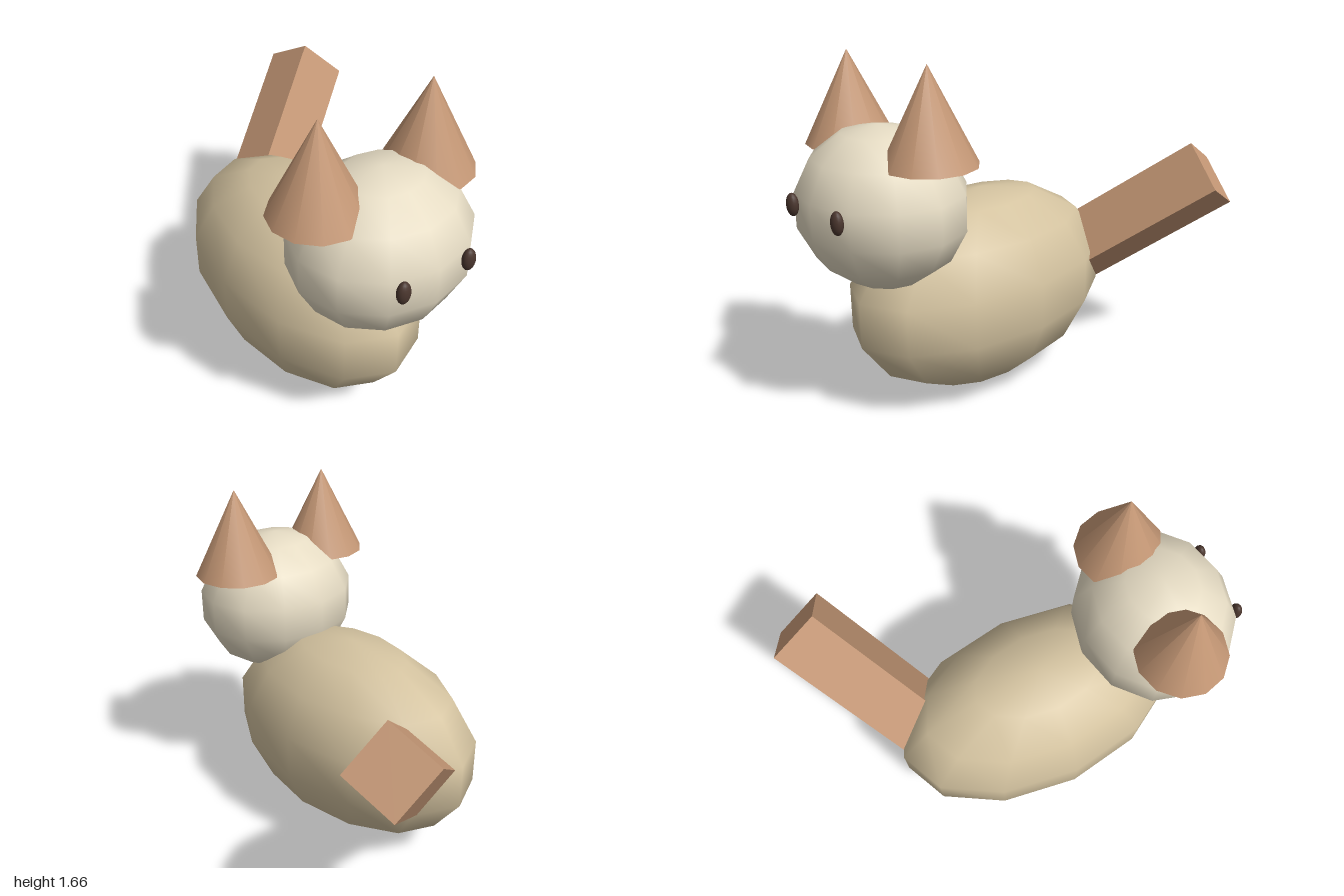
import * as THREE from 'three';

const mat = (color) => new THREE.MeshStandardMaterial({ color });

export function createModel() {
  const model = new THREE.Group();
  model.name = 'cat';
  const bodyMat = mat(0xd4c3a0);
  const headMat = mat(0xe6dcc4);
  const furMat = mat(0xc49775);
  const eyeMat = mat(0x4a362e);
  const midX = -0.167; // symmetry plane of body and head

  function add(name, geometry, material, x, y, z) {
    const mesh = new THREE.Mesh(geometry, material);
    mesh.name = name;
    mesh.position.set(x, y, z);
    model.add(mesh);
    return mesh;
  }

  // Coarse smooth-shaded ellipsoid with an upright axis
  const ellipsoid = (rx, ry, rz, w = 12, h = 7) =>
    new THREE.SphereGeometry(1, w, h).scale(rx, ry, rz);

  // Body and head
  add('body', ellipsoid(0.434, 0.49, 0.744), bodyMat, midX, 0.492, 0.065);
  add('head', ellipsoid(0.411, 0.36, 0.365), headMat, midX, 1.026, 0.637);

  // Paired ears and eyes
  for (const [side, s] of [['left', 1], ['right', -1]]) {
    add(side + 'Ear', new THREE.ConeGeometry(0.206, 0.41, 12), furMat, midX + s * 0.274, 1.455, 0.588);
    add(side + 'Eye', ellipsoid(0.031, 0.051, 0.025, 16, 12), eyeMat, midX + s * 0.164, 1.068, 0.976);
  }

  // Square tail, tilted up, back and to the left; its root is inside the body
  const length = 1.0;
  const across = new THREE.Vector3(0.19, -0.185, 0.055).normalize();
  const along = new THREE.Vector3(0.684, 0.565, -0.46);
  along.addScaledVector(across, -along.dot(across)).normalize();
  const depth = new THREE.Vector3().crossVectors(across, along);
  const centre = new THREE.Vector3(0.518, 1.0, -0.855).addScaledVector(along, -length / 2);
  const tail = add('tail', new THREE.BoxGeometry(0.272, length, 0.272), furMat, centre.x, centre.y, centre.z);
  tail.quaternion.setFromRotationMatrix(new THREE.Matrix4().makeBasis(across, along, depth));

  return model;
}
